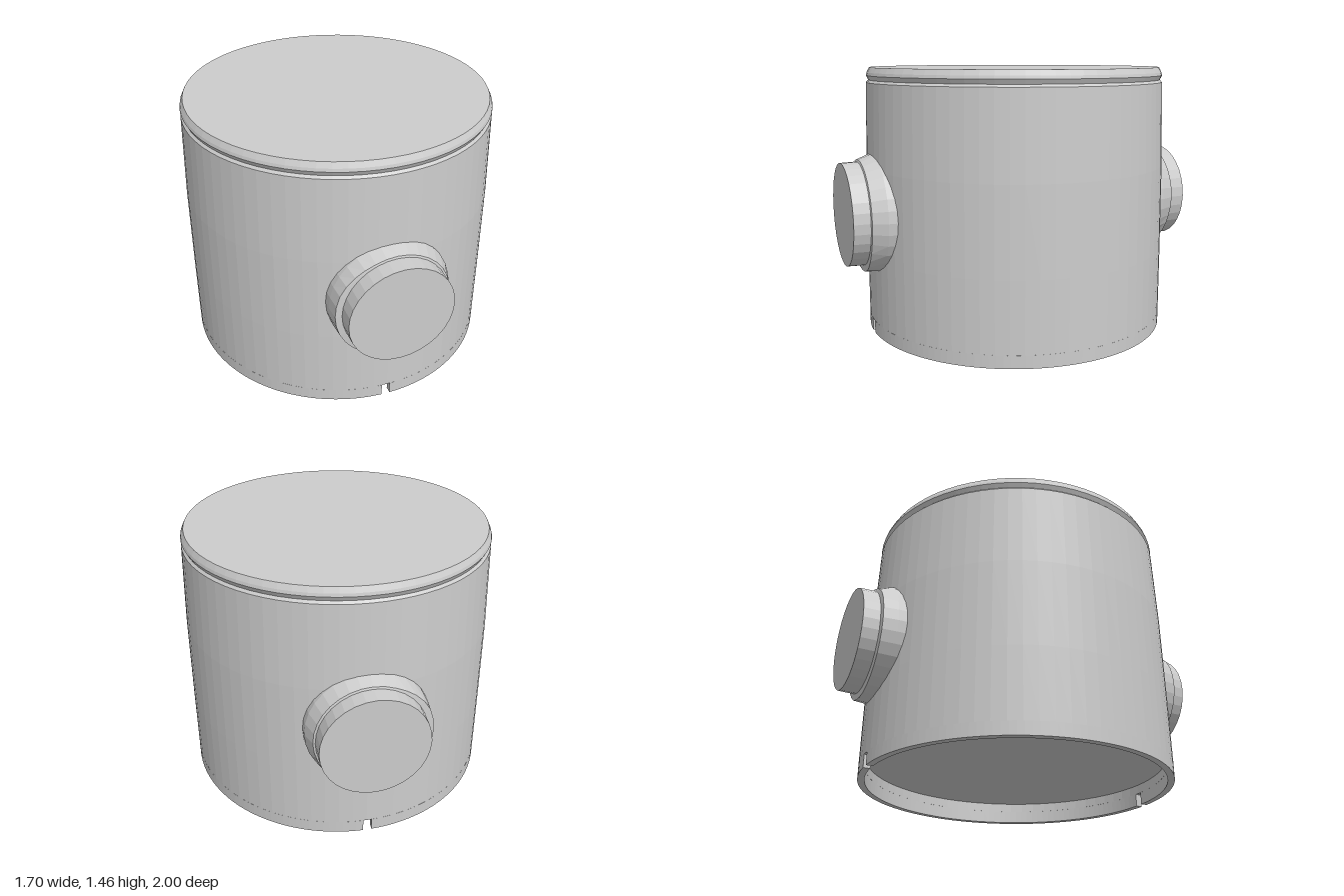
import * as THREE from 'three';

const SIDES = 72;
const OUTER = 0.852, INNER = 0.815, NOTCH_TOP = 0.07;

const grey = new THREE.MeshStandardMaterial({ color: 0xcccccc, flatShading: true });
grey.name = 'plain grey';

const lathe = (profile, sides) =>
  new THREE.LatheGeometry(profile.map(([r, y]) => new THREE.Vector2(r, y)), sides);

function part(name, geometry) {
  const mesh = new THREE.Mesh(geometry, grey);
  mesh.name = name;
  return mesh;
}

// Half of the bottom rim; the gap between the halves forms the two notches
function rimHalf(side) {
  const edge = side > 0 ? 0.018 : -0.028;
  const a = Math.acos(edge / OUTER), b = Math.acos(edge / INNER);
  const shape = new THREE.Shape();
  if (side > 0) {
    shape.absarc(0, 0, OUTER, -a, a, false);
    shape.absarc(0, 0, INNER, b, -b, true);
  } else {
    shape.absarc(0, 0, OUTER, a, 2 * Math.PI - a, false);
    shape.absarc(0, 0, INNER, 2 * Math.PI - b, b, true);
  }
  shape.closePath();
  const geo = new THREE.ExtrudeGeometry(shape, {
    depth: NOTCH_TOP, bevelEnabled: false, curveSegments: SIDES / 2,
  });
  return geo.rotateX(-Math.PI / 2);
}

// Round stub along z; its collar is stepped low and left, chamfered high and right
function stubGeometry(facing) {
  const geo = lathe([[0.325, 0.7], [0.322, 0.83], [0.315, 0.908], [0.281, 0.912], [0.278, 1], [0, 1]], 32);
  geo.rotateX(Math.PI / 2);
  if (facing < 0) geo.rotateY(Math.PI);
  const p = geo.attributes.position;
  for (let i = 0; i < p.count; i++) {
    const x = p.getX(i), y = p.getY(i);
    if (Math.abs(Math.abs(p.getZ(i)) - 0.908) > 0.002) continue;
    const slope = THREE.MathUtils.clamp(0.5 + (x + y) / 0.3, 0, 1);
    const scale = THREE.MathUtils.lerp(1, 0.292 / 0.315, slope);
    p.setXY(i, x * scale, y * scale);
  }
  geo.computeVertexNormals();
  return geo.translate(0, 0.68, 0);
}

export function createModel() {
  const model = new THREE.Group();
  model.name = 'roundHousing';

  // Tapered body with recessed underside, shallow groove and chamfered lid
  model.add(part('body', lathe([
    [0, 0.12], [INNER, 0.12], [INNER, NOTCH_TOP], [OUTER, NOTCH_TOP],
    [0.85, 0.45], [0.845, 0.92], [0.83, 1.375],
    [0.818, 1.388], [0.83, 1.412], [0.826, 1.428], [0.812, 1.456], [0, 1.456],
  ], SIDES)));

  for (const side of [1, -1]) {
    model.add(part(side > 0 ? 'leftRim' : 'rightRim', rimHalf(side)));
    model.add(part(side > 0 ? 'frontStub' : 'backStub', stubGeometry(side)));
  }
  return model;
}
